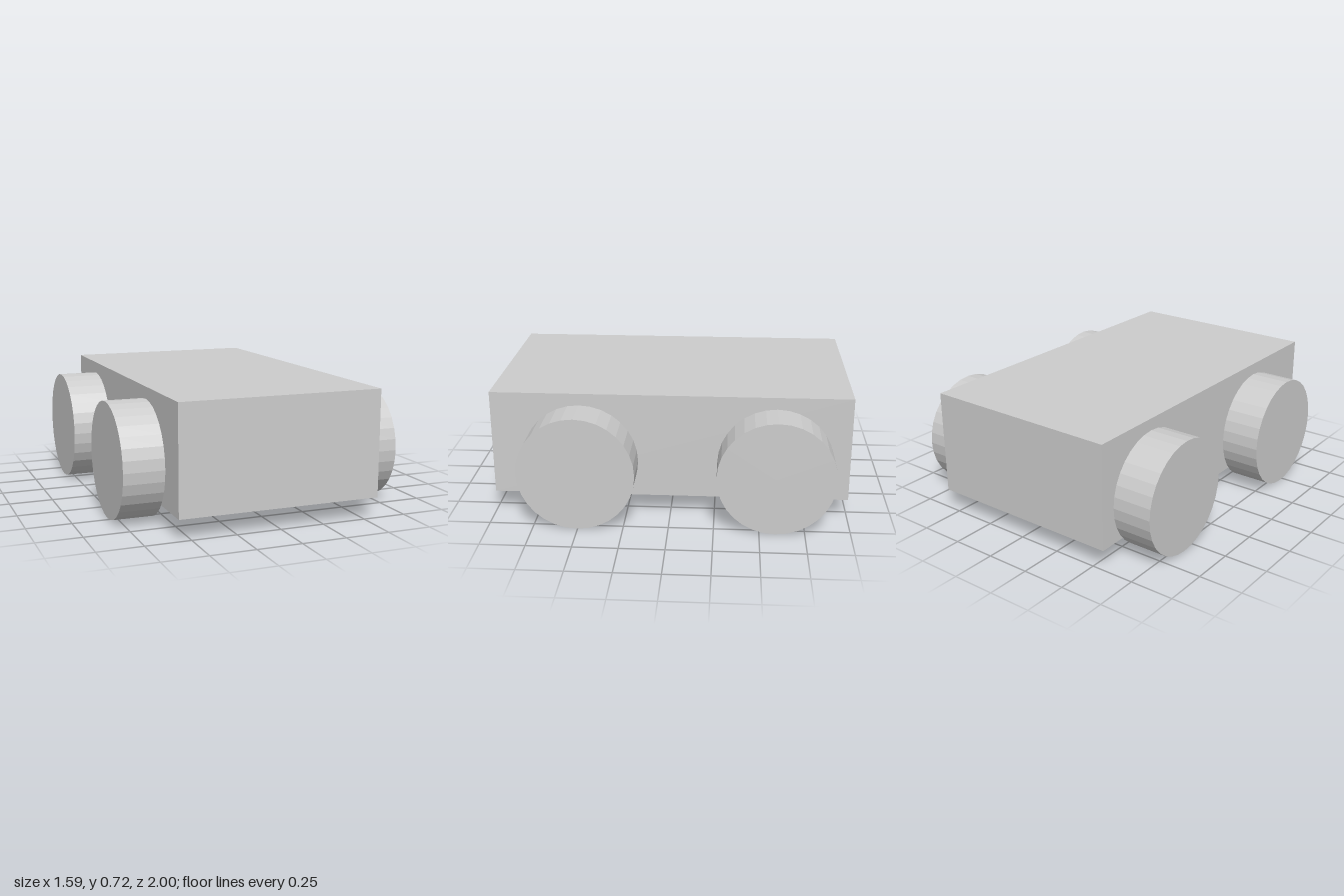
import * as THREE from 'three';

export function createModel() {
  const group = new THREE.Group();
  const lightGrey = new THREE.MeshStandardMaterial({ color: 0xcccccc, flatShading: true });
  lightGrey.name = 'lightGrey';

  // Plain box body
  const body = new THREE.Mesh(new THREE.BoxGeometry(1.148, 0.6, 2), lightGrey);
  body.name = 'body';
  body.position.set(0.005, 0.415, 0);
  group.add(body);

  // Four solid wheels with their axes along x; the front pair is slightly staggered
  const wheelGeometry = new THREE.CylinderGeometry(0.324, 0.324, 0.227, 32).rotateZ(Math.PI / 2);
  const wheels = [
    ['frontLeftWheel', 0.68, 0.504],
    ['frontRightWheel', -0.683, 0.473],
    ['rearLeftWheel', 0.68, -0.587],
    ['rearRightWheel', -0.683, -0.587],
  ];
  for (const [name, x, z] of wheels) {
    const wheel = new THREE.Mesh(wheelGeometry, lightGrey);
    wheel.name = name;
    wheel.position.set(x, 0.324, z);
    group.add(wheel);
  }
  return group;
}
